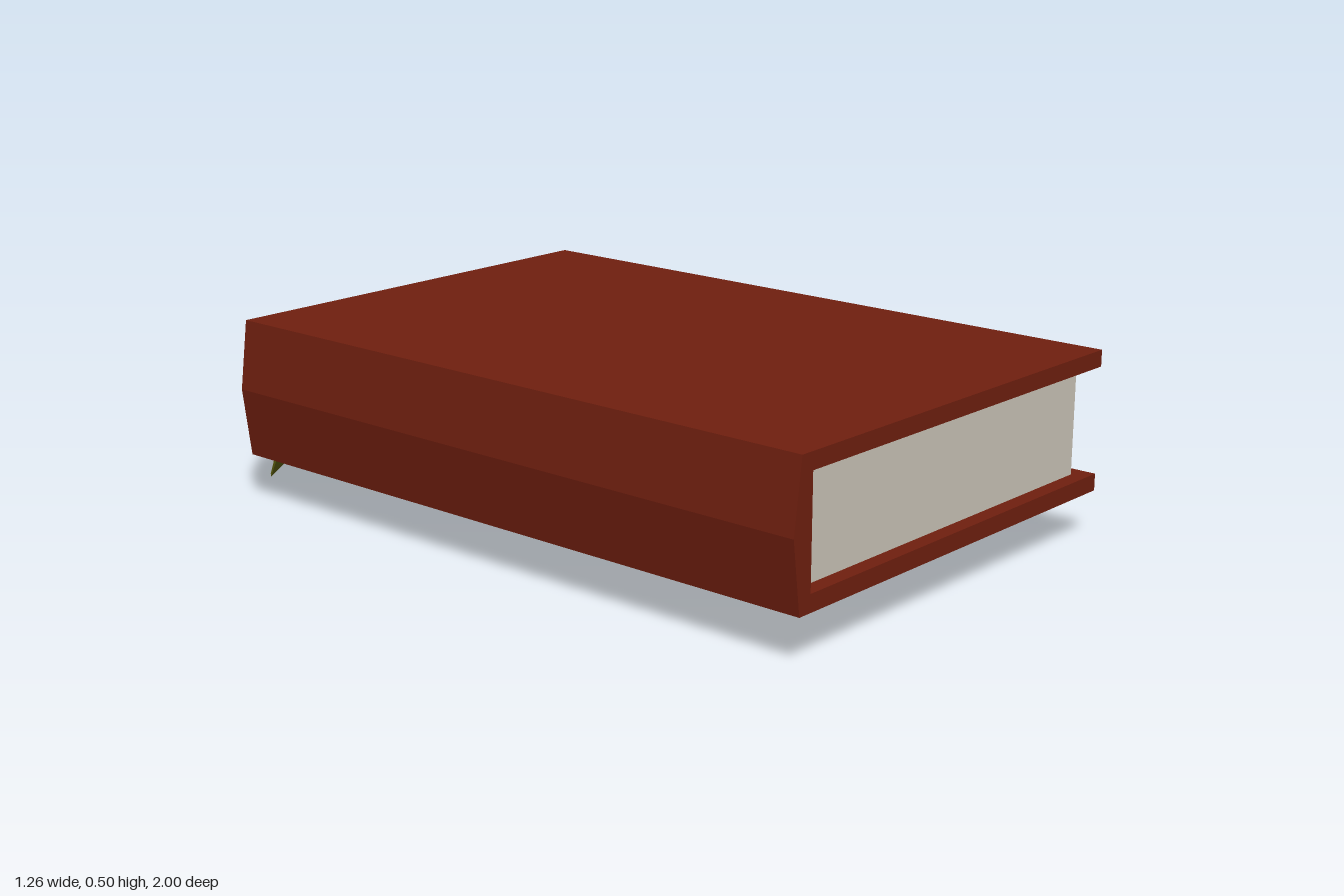
import * as THREE from 'three';

function material(name, color) {
  const m = new THREE.MeshStandardMaterial({ color });
  m.name = name;
  return m;
}

// Ribbon: side outlines (z, y) swept across x, with a notch at the middle station
function ribbonGeometry() {
  const section = (x, inner, outer) => [
    [-0.8, 0.25], [-0.876, 0.25], inner, outer, [-0.895, 0.268], [-0.8, 0.268],
  ].map(([z, y]) => [x, y, z]);
  const stations = [
    section(-0.443, [-0.998, 0], [-1, 0.008]),
    section(-0.34, [-0.958, 0.09], [-0.975, 0.115]),
    section(-0.143, [-0.998, 0], [-1, 0.008]),
  ];
  const positions = [];
  const quad = (a, b, c, d) => positions.push(...a, ...b, ...c, ...a, ...c, ...d);
  for (let k = 0; k < 2; k++) {
    const s = stations[k], t = stations[k + 1];
    for (let i = 0; i < 6; i++) {
      const j = (i + 1) % 6;
      quad(s[i], s[j], t[j], t[i]);
    }
  }
  // End faces
  const [l, , r] = stations;
  quad(r[0], r[1], r[4], r[5]);
  quad(r[1], r[2], r[3], r[4]);
  quad(l[5], l[4], l[1], l[0]);
  quad(l[4], l[3], l[2], l[1]);
  const g = new THREE.BufferGeometry();
  g.setAttribute('position', new THREE.Float32BufferAttribute(positions, 3));
  g.computeVertexNormals();
  return g;
}

export function createModel() {
  const group = new THREE.Group();
  group.name = 'book';
  const add = (name, geometry, mat) => {
    const mesh = new THREE.Mesh(geometry, mat);
    mesh.name = name;
    group.add(mesh);
    return mesh;
  };

  // Cover boards and ridged spine as one C-shaped profile
  const profile = new THREE.Shape([
    [0.628, 0.5], [-0.605, 0.5], [-0.63, 0.314], [-0.605, 0.127], [0.628, 0.127],
    [0.628, 0.172], [-0.566, 0.172], [-0.566, 0.456], [0.628, 0.456],
  ].map(([x, y]) => new THREE.Vector2(x, y)));
  const cover = new THREE.ExtrudeGeometry(profile, { depth: 1.872, bevelEnabled: false });
  add('cover', cover, material('cover red', 0x701f0f)).position.z = -0.872;

  // Page block set back from the cover edges
  const pages = add('pages', new THREE.BoxGeometry(1.138, 0.284, 1.786), material('paper', 0xcdc6b9));
  pages.position.set(0.012, 0.314, 0.064);

  add('bookmarkRibbon', ribbonGeometry(), material('ribbon olive', 0x58590c));
  return group;
}
